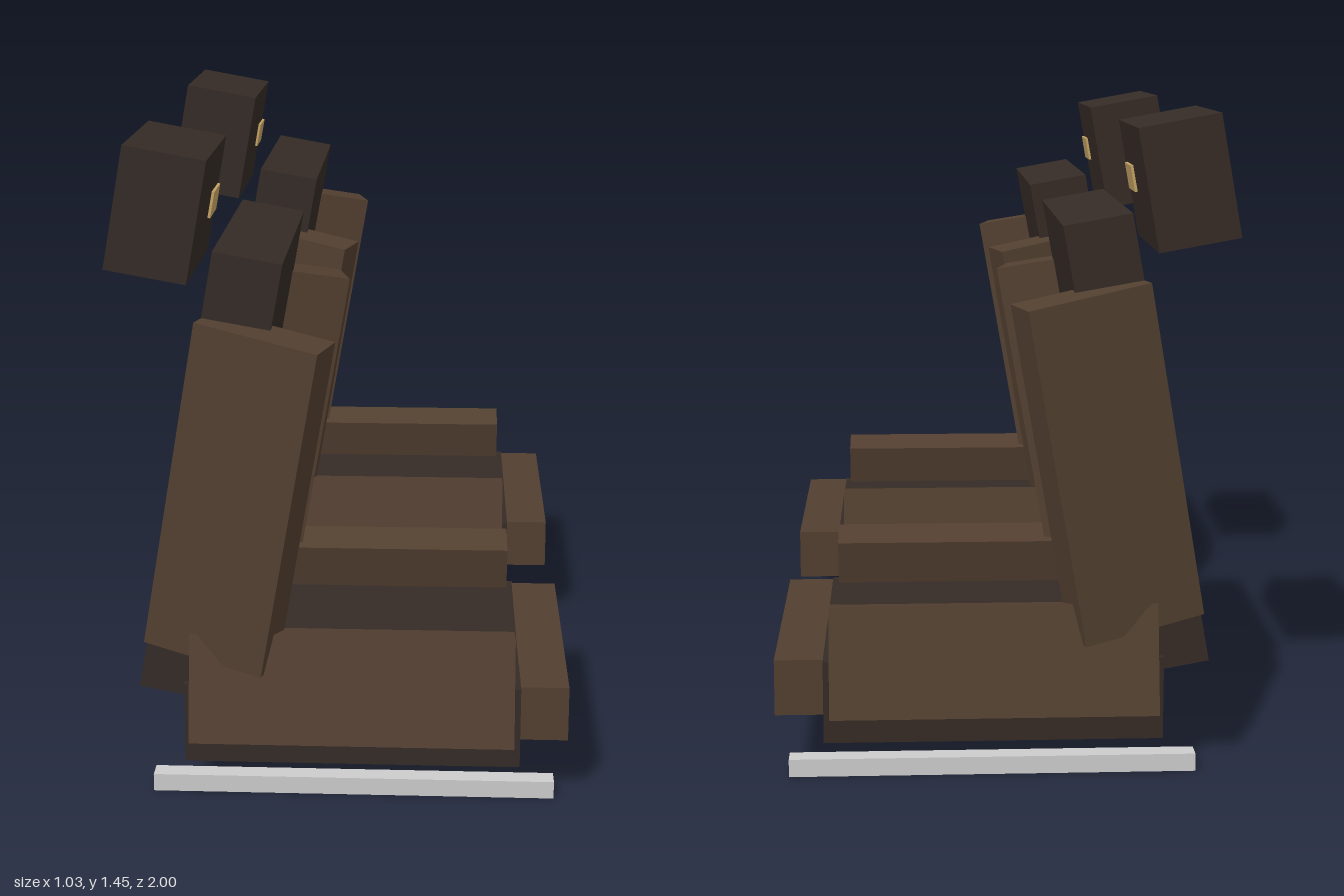
import * as THREE from 'three';

const material = (color) => new THREE.MeshStandardMaterial({ color });

// Box part: size, centre and Euler rotation
function box(parent, name, mat, size, position, rotation = [0, 0, 0]) {
  const mesh = new THREE.Mesh(new THREE.BoxGeometry(...size), mat);
  mesh.name = name;
  mesh.position.set(...position);
  mesh.rotation.set(...rotation);
  parent.add(mesh);
}

// One seat facing +x, centred on z = 0
function createSeat(mats) {
  const { dark, brown, metal, brass } = mats;
  const seat = new THREE.Group();
  const lean = -0.18;

  // Cushion and front lip
  box(seat, 'seatCushion', dark, [0.745, 0.185, 0.68], [0.033, 0.178, 0]);
  box(seat, 'frontLip', brown, [0.108, 0.125, 0.65], [0.458, 0.208, 0]);

  // Backrest, headrest and the small plate in front of it
  box(seat, 'backrest', dark, [0.15, 1.0, 0.65], [-0.277, 0.736, 0], [0, 0, lean]);
  box(seat, 'headrest', dark, [0.184, 0.276, 0.4], [-0.4, 1.294, 0], [0, 0, lean]);
  box(seat, 'headrestPlate', brass, [0.006, 0.06, 0.12], [-0.293, 1.294, 0], [0, 0, lean]);

  // Mirrored bolsters and floor rails
  for (const [side, s] of [['left', -1], ['right', 1]]) {
    box(seat, side + 'BackBolster', brown, [0.278, 0.745, 0.12], [-0.215, 0.707, s * 0.3275], [0, -s * 0.26, lean]);
    box(seat, side + 'SeatBolster', brown, [0.712, 0.242, 0.102], [0.034, 0.271, s * 0.343], [-s * 0.23, 0, 0]);
    box(seat, side + 'Rail', metal, [0.9, 0.04, 0.046], [0.034, 0.02, s * 0.295]);
  }
  return seat;
}

export function createModel() {
  const model = new THREE.Group();
  model.name = 'seatPair';
  const mats = {
    dark: material(0x352b26),
    brown: material(0x523f30),
    metal: material(0xcccccc),
    brass: material(0xc4a263),
  };
  for (const [name, z] of [['leftSeat', -0.5625], ['rightSeat', 0.5625]]) {
    const seat = createSeat(mats);
    seat.name = name;
    seat.position.z = z;
    model.add(seat);
  }
  return model;
}
